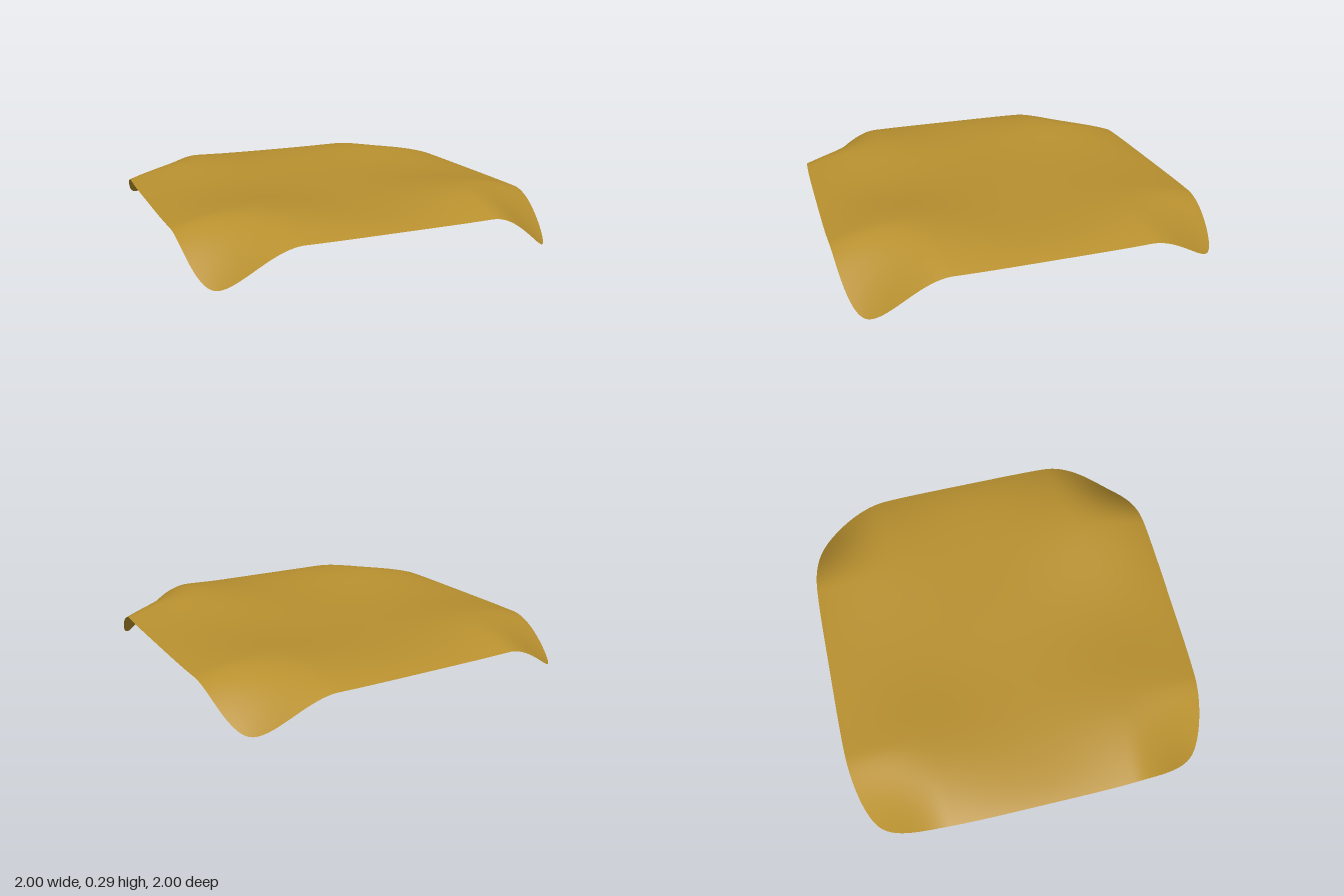
import * as THREE from 'three';

// one entry per corner: side signs, swell height and droop depth
const CORNERS = [
  { sx: 1, sz: 1, swell: 0.064, droop: 0.21 },
  { sx: -1, sz: 1, swell: 0.044, droop: 0.19 },
  { sx: 1, sz: -1, swell: 0.036, droop: 0.165 },
  { sx: -1, sz: -1, swell: 0.044, droop: 0.17 },
];

// height of the cloth at u, v in -1..1
function clothHeight(u, v) {
  const eu = Math.abs(u), ev = Math.abs(v);
  const u8 = eu ** 8, v8 = ev ** 8;
  const fade = (1 - eu ** 6) * (1 - ev ** 6);
  let y = 0.24 - 0.03 * (u8 + v8 - u8 * v8); // edges roll down slightly
  for (const c of CORNERS) {
    const a = u * c.sx, b = v * c.sz;
    // soft swell just inside the corner
    y += c.swell * fade * Math.exp(-((a - 0.62) ** 2 + (b - 0.65) ** 2) / 0.17);
    // hanging corner
    y -= c.droop * THREE.MathUtils.smoothstep(a, 0.5, 1) * THREE.MathUtils.smoothstep(b, 0.5, 1);
  }
  // faint wrinkles
  return y + 0.003 * fade * Math.sin(5 * u + 2 * v) * Math.cos(4 * v - 3 * u);
}

export function createModel() {
  const group = new THREE.Group();
  group.name = 'drapedCloth';

  const geometry = new THREE.PlaneGeometry(2, 2, 100, 100).rotateX(-Math.PI / 2);
  const p = geometry.attributes.position;
  for (let i = 0; i < p.count; i++) {
    const u = p.getX(i), v = p.getZ(i);
    // pull the corners inward to round the outline
    const pull = 1 - 0.105 * Math.abs(u * v) ** 4.3;
    p.setXYZ(i, u * pull, clothHeight(u, v), v * pull);
  }
  geometry.computeVertexNormals();

  const cloth = new THREE.Mesh(
    geometry,
    new THREE.MeshStandardMaterial({ color: 0xb8902f, side: THREE.DoubleSide })
  );
  cloth.name = 'cloth';
  group.add(cloth);
  return group;
}
